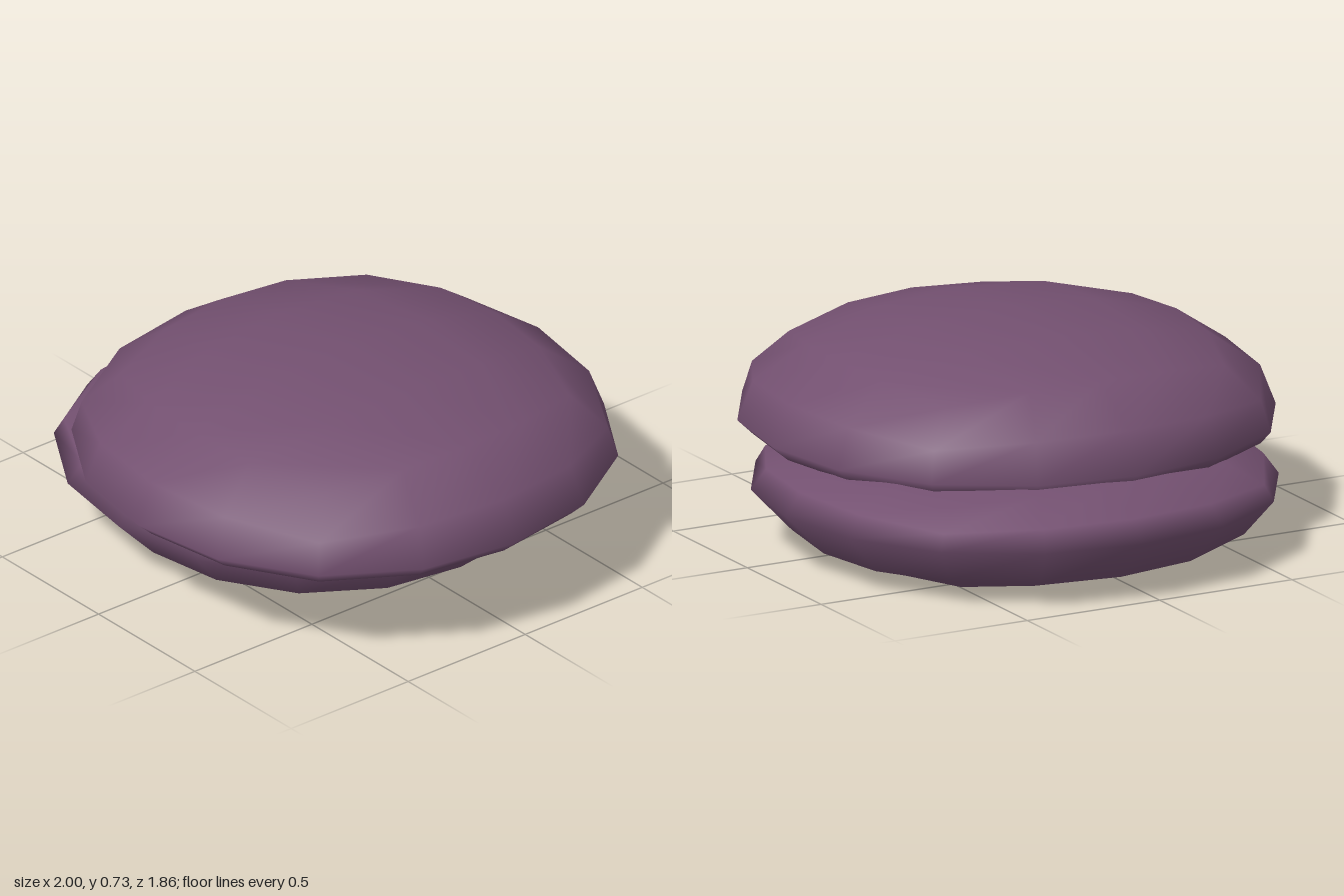
import * as THREE from 'three';
import { mergeVertices } from 'three/addons/utils/BufferGeometryUtils.js';

const material = new THREE.MeshStandardMaterial({ color: 0x735070 });

// A cube rounded into a cushion: domed above its widest ring, flattened below it.
// flat: how quickly the underside levels out; tuck: how far the underside draws in
function cushion(name, { radius, up, down, flat, tuck, position }) {
  let geometry = new THREE.BoxGeometry(2, 2, 2, 4, 4, 4);
  geometry.deleteAttribute('normal');
  geometry.deleteAttribute('uv');
  geometry = mergeVertices(geometry);
  const points = geometry.attributes.position;
  const v = new THREE.Vector3();
  for (let i = 0; i < points.count; i++) {
    // even angular grid on a sphere, slightly fuller towards the cube's edges
    v.fromBufferAttribute(points, i);
    v.set(...v.toArray().map((c) => Math.tan((c * Math.PI) / 4))).normalize();
    v.multiplyScalar(1 + 0.055 * (1 - v.x ** 4 - v.y ** 4 - v.z ** 4));
    let spread = radius;
    let y = v.y * up;
    if (v.y < 0) {
      const t = Math.min(1, -v.y);
      y = -down * (1 - (1 - t) ** flat);
      spread *= 1 - tuck * Math.min(1, t / 0.39);
    }
    points.setXYZ(i, v.x * spread, y, v.z * spread);
  }
  geometry.computeVertexNormals();
  const mesh = new THREE.Mesh(geometry, material);
  mesh.name = name;
  mesh.position.set(...position);
  return mesh;
}

export function createModel() {
  const group = new THREE.Group();
  group.name = 'stackedCushions';
  group.add(
    cushion('lowerCushion', {
      radius: 0.865, up: 0.19, down: 0.2, flat: 2.7, tuck: 0.11,
      position: [-0.135, 0.2, -0.065],
    }),
    cushion('upperCushion', {
      radius: 0.882, up: 0.365, down: 0.095, flat: 1.55, tuck: 0,
      position: [0.118, 0.36, 0.045],
    }),
  );
  return group;
}
